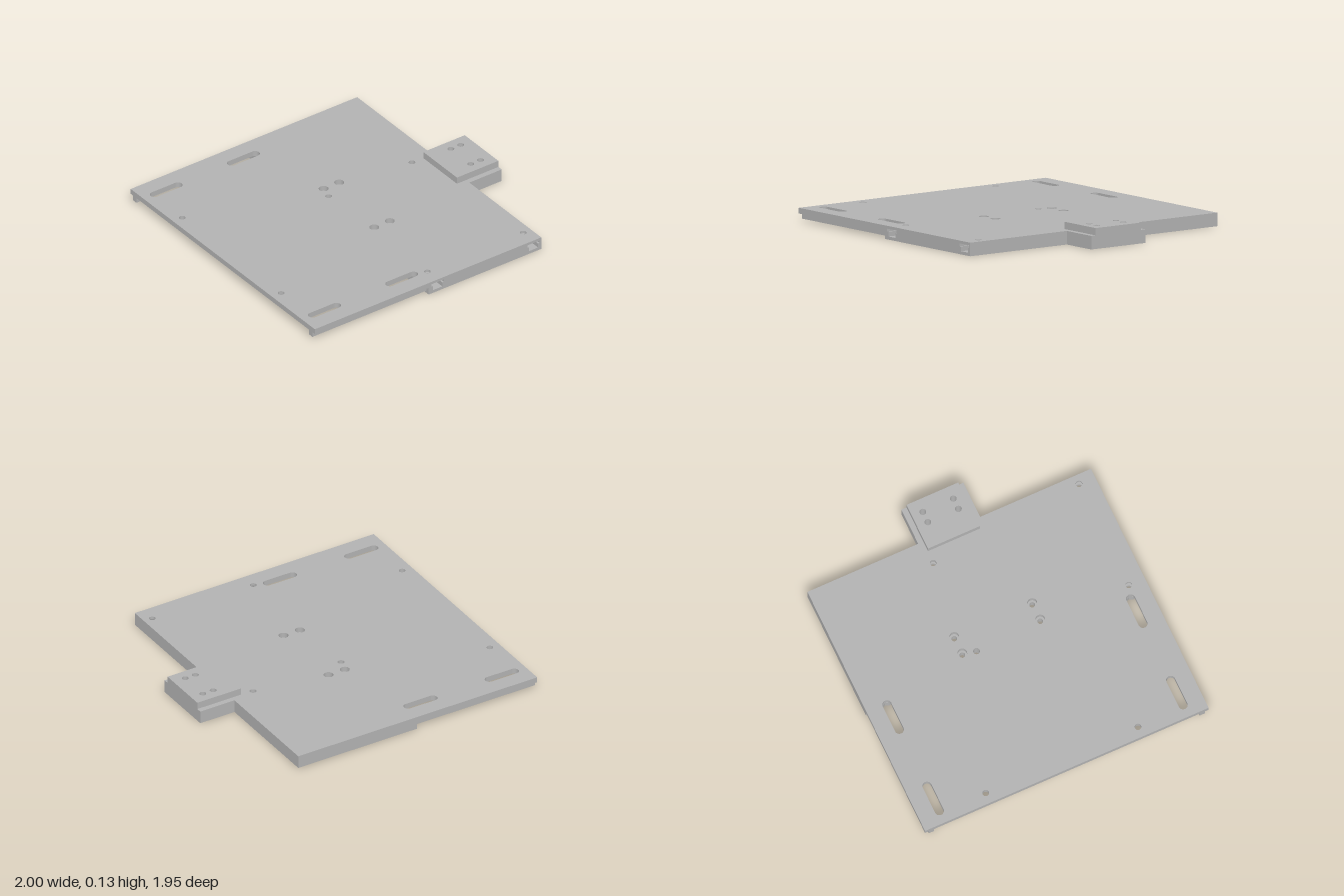
import * as THREE from 'three';

const FRONT = 0.975, RIGHT_EDGE = 0.75, STEP = -0.12;
const PIN = 0.021;                       // small through-hole radius
const nutX = [-0.05, 0.69], nutZ = 0.865; // captured nuts in the front edge

// Plan outlines are drawn in (x, z)
const poly = (pts, Type = THREE.Shape) => new Type(pts.map(([x, z]) => new THREE.Vector2(x, z)));

function circle(x, z, r) {
  const p = new THREE.Path();
  p.absarc(x, z, r, 0, Math.PI * 2, true);
  return p;
}

function slot(x0, x1, z, r) {
  const p = new THREE.Path();
  p.absarc(x0 + r, z, r, Math.PI / 2, Math.PI * 1.5, false);
  p.absarc(x1 - r, z, r, -Math.PI / 2, Math.PI / 2, false);
  p.closePath();
  return p;
}

function hexagon(x, z, r) {
  const pts = [];
  for (let i = 0; i < 6; i++) {
    const a = (i + 0.5) * Math.PI / 3;
    pts.push([x + r * Math.cos(a), z + r * Math.sin(a)]);
  }
  return poly(pts, THREE.Path);
}

// Plate with side tab; w is the half width of the nut pockets (0 = none)
function outline(left, w) {
  const tab = [[RIGHT_EDGE, -0.213], [1, -0.213], [1, 0.213], [RIGHT_EDGE, 0.213]];
  const pts = [[left, -FRONT], [RIGHT_EDGE, -FRONT], ...tab, [RIGHT_EDGE, FRONT]];
  if (w) {
    for (const c of [...nutX].reverse()) {
      pts.push([c + w, FRONT], [c + w, nutZ - w * 0.58], [c, nutZ - w * 1.15],
        [c - w, nutZ - w * 0.58], [c - w, FRONT]);
    }
  }
  pts.push([left, FRONT]);
  // slot ends bite into the step
  if (left === STEP) {
    for (const z of [0.838, -0.838]) {
      pts.push([STEP, z + 0.023], [STEP + 0.011, z], [STEP, z - 0.023]);
    }
  }
  return poly(pts);
}

export function createModel() {
  const model = new THREE.Group();
  const grey = new THREE.MeshStandardMaterial({ color: 0xb2b2b2 });
  grey.name = 'grey';

  function slab(name, shape, holes, y0, y1) {
    shape.holes.push(...holes);
    const geo = new THREE.ExtrudeGeometry(shape, { depth: y1 - y0, bevelEnabled: false, curveSegments: 16 });
    geo.rotateX(Math.PI / 2);
    geo.translate(0, y1, 0);
    const mesh = new THREE.Mesh(geo, grey);
    mesh.name = name;
    model.add(mesh);
  }

  // Hole groups
  const grid = (xs, zs, r) => xs.flatMap(x => zs.map(z => circle(x, z, r)));
  const tabHoles = () => grid([0.84, 0.915], [-0.105, 0.105], PIN);
  const screws = r => grid([-0.025, 0.095], [-0.268, 0.268], r);
  const frontPins = () => nutX.map(x => circle(x, nutZ, PIN));
  const innerPin = () => circle(-0.05, -0.182, PIN);
  const backPin = () => circle(0.595, -0.182, PIN);
  const thinHoles = () => [
    ...grid([-0.93], [-0.525, 0.522], PIN),
    ...[-0.838, 0.838].flatMap(z => [slot(-0.945, -0.705, z, 0.029), slot(-0.349, -0.109, z, 0.029)]),
  ];
  // nut channel running from the bottom opening to the back pin
  const channel = () => poly([[0.56, -0.335], [0.595, -0.355], [0.63, -0.335],
    [0.63, -0.162], [0.595, -0.142], [0.56, -0.162]], THREE.Path);

  // Plate, in four layers from the bottom up
  slab('plateBase', outline(STEP, 0),
    [...tabHoles(), ...screws(0.018), ...frontPins(), innerPin(), backPin(), hexagon(0.6, -0.31, 0.05)], 0, 0.02);
  slab('nutPocketLayer', outline(STEP, 0.035),
    [...tabHoles(), ...screws(0.018), innerPin(), channel()], 0.02, 0.05);
  slab('flangePocketLayer', outline(-1, 0.047),
    [...tabHoles(), ...screws(0.031), ...thinHoles(), innerPin(), backPin()], 0.05, 0.068);
  slab('plateTop', outline(-1, 0),
    [...tabHoles(), ...screws(0.031), ...thinHoles(), ...frontPins(), innerPin(), backPin()], 0.068, 0.086);

  // Raised block on the tab
  slab('tabBlock', poly([[0.68, -0.178], [1, -0.178], [1, 0.178], [0.68, 0.178]]), tabHoles(), 0.086, 0.132);

  // Guide rails under the thin side
  for (const side of [-1, 1]) {
    const rail = new THREE.Mesh(new THREE.BoxGeometry(0.88, 0.035, 0.035), grey);
    rail.name = side > 0 ? 'frontRail' : 'backRail';
    rail.position.set(-0.56, 0.0325, side * 0.932);
    model.add(rail);
  }
  return model;
}
